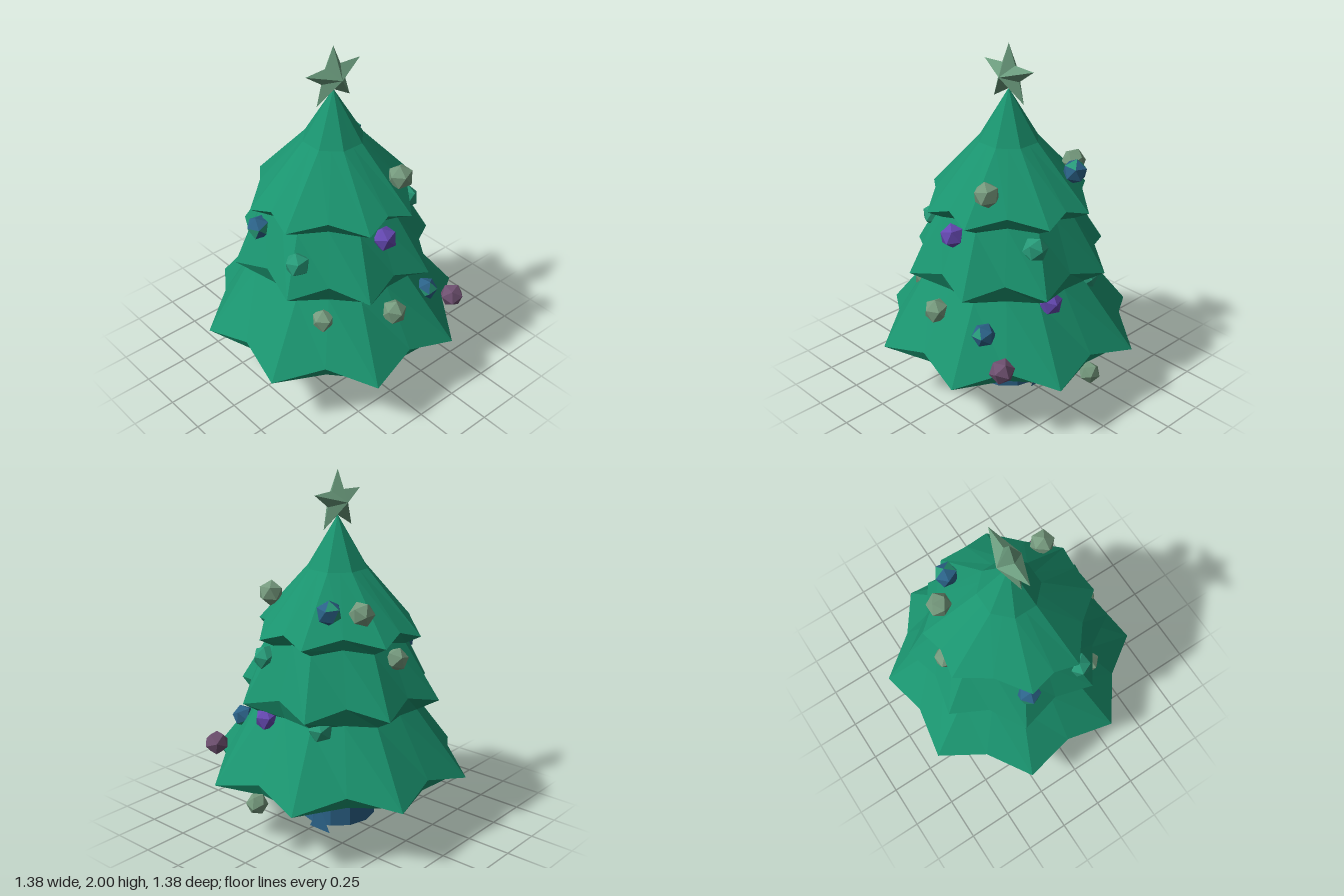
import * as THREE from 'three';

const material = (name, color) => {
  const m = new THREE.MeshStandardMaterial({ color, flatShading: true });
  m.name = name;
  return m;
};

// Flat-shaded geometry from a plain list of triangle corners
function facets(pos) {
  const g = new THREE.BufferGeometry();
  g.setAttribute('position', new THREE.Float32BufferAttribute(pos, 3));
  g.computeVertexNormals();
  return g;
}

// Skin through rings of points, listed from top to bottom
function skin(rings) {
  const pos = [];
  for (let i = 0; i < rings.length - 1; i++) {
    const a = rings[i], b = rings[i + 1], n = a.length;
    for (let j = 0; j < n; j++) {
      const k = (j + 1) % n;
      for (const p of [a[j], b[j], b[k], a[j], b[k], a[k]]) pos.push(...p);
    }
  }
  return facets(pos);
}

// Eight-pointed ring: points at odd corners, valleys at even ones.
// The points sit the given number of degrees either side of each axis;
// diagonalR is the radius of the valleys between the axes.
function pointedRing({ tip, valley, degrees = 22.5, diagonalR = valley[0], depth = 1 }) {
  return Array.from({ length: 16 }, (_, j) => {
    const offset = THREE.MathUtils.degToRad(degrees);
    const a = j % 2
      ? Math.round(j / 4) * Math.PI / 2 + (j % 4 === 1 ? offset : -offset)
      : j * Math.PI / 8;
    const r = j % 2 ? tip[0] : j % 4 ? diagonalR : valley[0];
    return [r * Math.sin(a), (j % 2 ? tip : valley)[1], r * Math.cos(a) * depth];
  });
}

// Five-pointed star in the yz plane, raised to a ridge on both sides
function starGeometry(outer, inner, depth) {
  const rim = Array.from({ length: 10 }, (_, j) => {
    const a = j * Math.PI / 5;
    const r = j % 2 ? inner : outer;
    return [0, r * Math.cos(a), r * Math.sin(a)];
  });
  const pos = [];
  rim.forEach((p, j) => {
    const q = rim[(j + 1) % 10];
    pos.push(...p, ...q, depth, 0, 0, ...q, ...p, -depth, 0, 0);
  });
  return facets(pos);
}

export function createModel() {
  const tree = new THREE.Group();
  tree.name = 'decoratedTree';
  const green = material('needle green', 0x1a946f);
  const blue = material('trunk blue', 0x2b6288);
  green.side = blue.side = THREE.DoubleSide;
  const sage = material('star sage', 0x6a9a7c);
  const ornamentGreen = material('ornament green', 0x279a78);
  const bauble = {
    green: ornamentGreen,
    blueAndGreen: [blue, ornamentGreen],
    sage: material('ornament sage', 0x75997d),
    purple: material('ornament purple', 0x6448b0),
    plum: material('ornament plum', 0x6e5070),
  };
  const add = (name, geometry, mat, x = 0, y = 0, z = 0) => {
    const mesh = new THREE.Mesh(geometry, mat);
    mesh.name = name;
    mesh.position.set(x, y, z);
    tree.add(mesh);
    return mesh;
  };

  // Hollow shell of three tiers with a turned-in lower lip; [radius, height]
  add('foliage', skin([
    { tip: [0, 1.76], valley: [0, 1.76] },
    { tip: [0.168, 1.48], valley: [0.155, 1.48] },
    { tip: [0.48, 1.14], valley: [0.43, 1.19], degrees: 18, diagonalR: 0.4 },
    { tip: [0.39, 1.09], valley: [0.36, 1.12], degrees: 20 },
    { tip: [0.585, 0.78], valley: [0.49, 0.84], depth: 0.96 },
    { tip: [0.46, 0.71], valley: [0.44, 0.73], depth: 0.98 },
    { tip: [0.745, 0.34], valley: [0.635, 0.41] },
    { tip: [0.66, 0.333], valley: [0.6, 0.34] },
  ].map(pointedRing)), green);

  // Hollow trunk with splinters at its foot
  add('trunk', new THREE.CylinderGeometry(0.2, 0.214, 0.27, 12, 1, true), blue, 0, 0.165, 0);
  const splinter = new THREE.Shape([[-0.075, 0], [0.075, 0], [0, 0.14]].map(p => new THREE.Vector2(...p)));
  const splinterGeometry = new THREE.ShapeGeometry(splinter);
  add('frontSplinter', splinterGeometry, blue, -0.035, 0, 0.213);
  add('backSplinter', splinterGeometry, blue, -0.05, 0, -0.213);

  // Star on the top, slightly flattened
  add('star', starGeometry(0.192, 0.082, 0.072), sage, 0, 1.83, 0).scale.y = 0.885;

  // Faceted ornaments: colour, position, radius
  const ornament = new THREE.IcosahedronGeometry(1, 0);
  const twoTone = ornament.clone();
  twoTone.addGroup(0, 48, 0);
  twoTone.addGroup(48, 12, 1);
  [
    ['sage', -0.32, 1.31, -0.18, 0.07],
    ['sage', 0.33, 1.31, -0.18, 0.072],
    ['blueAndGreen', -0.2, 1.32, -0.3, 0.07],
    ['sage', -0.41, 1.04, 0, 0.066],
    ['purple', 0.41, 1.04, 0, 0.07],
    ['blueAndGreen', -0.14, 1.01, 0.41, 0.07],
    ['green', 0.19, 0.95, 0.415, 0.07],
    ['green', 0.18, 1.02, -0.385, 0.07],
    ['sage', 0.32, 0.62, 0.35, 0.07],
    ['sage', 0.52, 0.62, 0.02, 0.072],
    ['blueAndGreen', 0.46, 0.58, -0.29, 0.066],
    ['purple', 0.12, 0.7, -0.44, 0.07],
    ['green', -0.22, 0.71, -0.39, 0.07],
    ['plum', 0.5, 0.46, -0.47, 0.07],
    ['sage', 0.01, 0.305, -0.64, 0.06],
  ].forEach(([color, x, y, z, r], i) => {
    const shape = color === 'blueAndGreen' ? twoTone : ornament;
    const o = add('ornament', shape, bauble[color], x, y, z);
    o.scale.setScalar(r);
    o.rotation.set(i * 1.3, i * 0.9, i * 0.5);
  });
  return tree;
}
